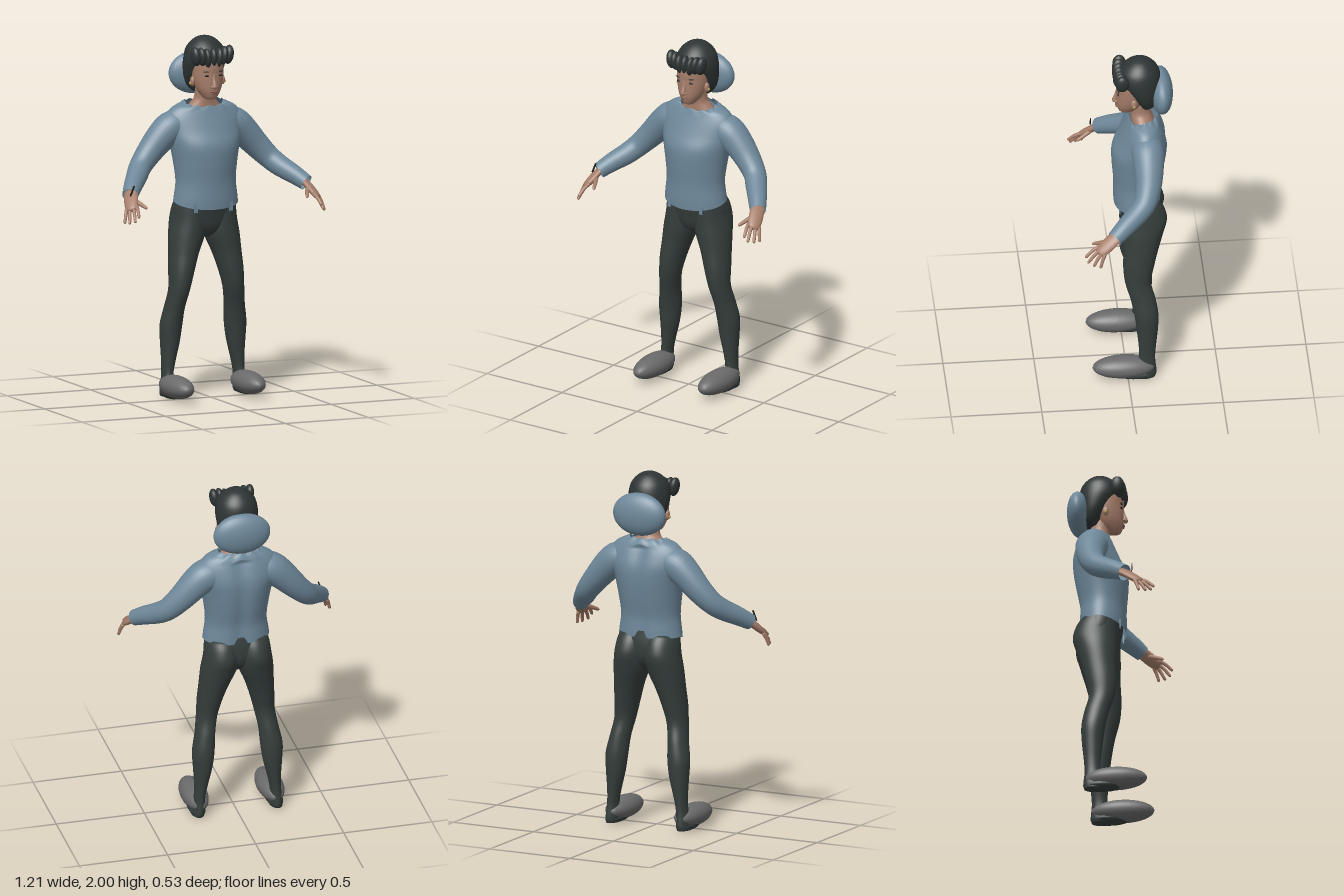
import * as THREE from 'three';

const mat = (name, color, side = THREE.FrontSide) => Object.assign(new THREE.MeshStandardMaterial({ color, side }), { name });

// Joins rings of n points into one closed smooth skin, with optional end caps.
function skin(rings, caps = true) {
  const n = rings[0].length, m = rings.length, pos = rings.flat(), idx = [];
  for (let i = 0; i < m - 1; i++) for (let j = 0; j < n; j++) {
    const k = (j + 1) % n, a = i * n + j, b = a + n, c = i * n + k, d = c + n;
    idx.push(a, b, c, b, d, c);
  }
  if (caps) [0, m - 1].forEach((r) => {
    const mid = new THREE.Vector3();
    rings[r].forEach((p) => mid.addScaledVector(p, 1 / n));
    const c = pos.push(mid) - 1;
    for (let j = 0; j < n; j++) {
      const a = r * n + j, b = r * n + (j + 1) % n;
      r ? idx.push(c, b, a) : idx.push(c, a, b);
    }
  });
  const g = new THREE.BufferGeometry().setFromPoints(pos);
  g.setIndex(idx);
  g.computeVertexNormals();
  return g;
}

// Smoothly resamples a short list of control rows.
function resample(rows, steps) {
  const size = rows[0].length;
  const curve = new THREE.CubicInterpolant(rows.map((_, i) => i), rows.flat(), size, new Float32Array(size));
  const count = (rows.length - 1) * steps;
  return Array.from({ length: count + 1 }, (_, i) => Array.from(curve.evaluate(i / steps)));
}

// Upright body part from rows [y, centreX, halfWidth, zBack, zFront, frontDrop].
function loft(rows, { caps = true, tweak, n = 36 } = {}) {
  return skin(resample(rows, 4).map(([y, cx, rx, zb, zf, drop]) =>
    Array.from({ length: n }, (_, j) => {
      const a = j / n * Math.PI * 2, s = Math.sin(a);
      const p = new THREE.Vector3(cx + rx * Math.cos(a), y - drop * Math.max(0, s), (zb + zf) / 2 + (zf - zb) / 2 * s);
      if (tweak) tweak(p, a);
      return p;
    })), caps);
}

// Limb along rows [x, y, z, radius], widened along the side direction.
function limb(rows, { side = [0, 0, 1], wide = 1, n = 20, caps = true } = {}) {
  const r = resample(rows, 4), at = (i) => new THREE.Vector3(...r[i]);
  return skin(r.map((row, i) => {
    const t = at(Math.min(i + 1, r.length - 1)).sub(at(Math.max(i - 1, 0))).normalize();
    const u = new THREE.Vector3(...side).addScaledVector(t, -t.dot(new THREE.Vector3(...side))).normalize();
    const v = u.clone().cross(t);
    return Array.from({ length: n }, (_, j) => {
      const a = j / n * Math.PI * 2;
      return at(i).addScaledVector(u, Math.cos(a) * row[3] * wide).addScaledVector(v, Math.sin(a) * row[3]);
    });
  }), caps);
}

const ball = (x, y, z, rx, ry, rz, tilt = 0) =>
  new THREE.SphereGeometry(1, 28, 18).scale(rx, ry, rz).rotateZ(tilt).translate(x, y, z);

// Reflects a geometry to the other side and restores its winding.
function mirrored(geo) {
  const g = geo.clone().scale(-1, 1, 1), idx = g.index.array;
  for (let i = 0; i < idx.length; i += 3) [idx[i], idx[i + 1]] = [idx[i + 1], idx[i]];
  g.computeVertexNormals();
  return g;
}

export function createModel() {
  const group = new THREE.Group();
  const shirt = mat('shirt blue', 0x6e889a, THREE.DoubleSide);
  const pants = mat('trouser charcoal', 0x353e3c);
  const hair = mat('hair black', 0x2e3534);
  const skinTone = mat('skin', 0xa67e6a);
  const lip = mat('lip', 0x865a50);
  const shoe = mat('slipper grey', 0x6a6a6a);
  const dark = mat('eye dark', 0x1c1a1a);
  const gold = mat('earring gold', 0xb09a50);
  const add = (name, geo, material) => {
    const m = new THREE.Mesh(geo, material);
    m.name = name;
    group.add(m);
  };
  const pair = (name, geo, material) => {
    add(name + 'Left', geo, material);
    add(name + 'Right', mirrored(geo), material);
  };

  // Sweater body with scalloped neckline, spine groove and open hem
  add('sweaterBody', loft([
    [1.085, 0, .187, -.2, .06, .035], [1.12, 0, .182, -.2, .062, .02], [1.2, 0, .172, -.2, .062, 0],
    [1.3, 0, .182, -.22, .07, 0], [1.4, 0, .2, -.235, .07, 0], [1.48, 0, .222, -.235, .035, 0],
    [1.55, 0, .225, -.215, .005, 0], [1.6, 0, .19, -.195, -.015, 0], [1.625, 0, .145, -.183, -.022, .01],
    [1.638, 0, .112, -.17, -.028, .032],
  ], {
    caps: false, n: 60, tweak: (p, a) => {
      if (Math.sin(a) < 0 && p.y < 1.6) p.z += .018 * Math.exp(-((p.x / .045) ** 2));
      if (p.y > 1.6 && Math.abs(p.x) < .115) p.y += .005 * Math.cos(12 * a);
    },
  }), shirt);
  pair('hemTab', new THREE.BoxGeometry(.022, .05, .006).translate(.105, 1.06, .036), shirt);
  pair('sleeve', limb([
    [.13, 1.51, -.11, .085], [.19, 1.495, -.112, .09], [.25, 1.445, -.112, .083], [.32, 1.37, -.105, .072],
    [.385, 1.3, -.08, .063], [.43, 1.255, -.03, .059], [.485, 1.212, .04, .052], [.53, 1.172, .1, .044],
  ], { caps: false, n: 28 }), shirt);

  // Trousers: hips joining two shaped legs
  add('hips', loft([
    [.885, 0, .02, -.11, -.05, 0], [.91, 0, .09, -.15, -.01, 0], [.95, 0, .16, -.18, .012, 0],
    [1, 0, .182, -.195, .025, 0], [1.06, 0, .18, -.195, .038, 0], [1.12, 0, .165, -.185, .045, 0],
  ]), pants);
  pair('leg', loft([
    [.01, .222, .036, -.15, -.02, 0], [.04, .22, .037, -.157, -.03, 0], [.12, .215, .031, -.15, -.06, 0],
    [.2, .207, .038, -.155, -.06, 0], [.3, .198, .053, -.166, -.05, 0], [.4, .193, .062, -.17, -.038, 0],
    [.5, .18, .056, -.155, -.018, 0], [.6, .163, .058, -.132, .01, 0], [.7, .148, .069, -.15, .02, 0],
    [.8, .128, .082, -.175, .017, 0], [.9, .104, .099, -.205, .02, 0], [.98, .094, .096, -.226, .02, 0],
    [1.05, .09, .09, -.21, .02, 0], [1.1, .088, .08, -.18, .02, 0],
  ]), pants);

  // Rounded slippers with a dark sole below
  pair('sole', ball(.22, .03, -.045, .047, .03, .112), pants);
  pair('slipper', ball(.215, .074, .021, .073, .063, .174), shoe);

  // Hands: flat palm, four fingers and a thumb
  const across = [.75, -.35, -.5];
  pair('palm', limb([
    [.515, 1.185, .08, .02], [.53, 1.165, .11, .02], [.545, 1.135, .148, .02], [.557, 1.108, .183, .016], [.56, 1.1, .193, .008],
  ], { side: across, wide: 2 }), skinTone);
  [['index', -.03, [.55, 1.07, .265]], ['middle', -.009, [.566, 1.043, .252]],
    ['ring', .012, [.587, 1.032, .222]], ['little', .032, [.6, 1.03, .185]]].forEach(([name, o, tip]) => {
    const root = [.553 + across[0] * o, 1.115 + across[1] * o, .175 + across[2] * o];
    const at = (f, lift) => root.map((v, i) => v + (tip[i] - v) * f + (i === 1 ? lift : 0));
    pair(name + 'Finger', limb([
      [...at(0, 0), .011], [...at(.5, .007), .0095], [...at(.92, .001), .008], [...at(1, 0), .003],
    ], { side: across, n: 12 }), skinTone);
  });
  pair('thumb', limb([
    [.53, 1.155, .125, .014], [.505, 1.135, .168, .012], [.486, 1.116, .21, .009], [.481, 1.11, .22, .003],
  ], { side: [0, 1, 0], n: 12 }), skinTone);
  // Thin spike on the right wrist
  add('wristSpike', new THREE.BoxGeometry(.008, .06, .006).rotateZ(-.4).translate(-.535, 1.2, .14), dark);

  // Neck and head
  add('neck', loft([
    [1.57, 0, .11, -.165, -.04, 0], [1.605, 0, .098, -.16, -.035, 0], [1.63, 0, .078, -.15, -.034, 0],
    [1.66, 0, .058, -.14, -.03, 0], [1.72, 0, .055, -.13, -.02, 0],
  ]), skinTone);
  add('head', loft([
    [1.655, 0, .012, -.015, .012, 0], [1.662, 0, .033, -.05, .03, 0], [1.69, 0, .055, -.09, .042, 0],
    [1.72, 0, .071, -.11, .046, 0], [1.76, 0, .083, -.13, .047, 0], [1.8, 0, .09, -.15, .047, 0],
    [1.85, 0, .092, -.16, .048, 0], [1.9, 0, .085, -.15, .04, 0], [1.94, 0, .05, -.12, 0, 0],
  ]), skinTone);

  // Face details
  add('nose', limb([
    [0, 1.722, .047, .004], [0, 1.729, .053, .015], [0, 1.742, .053, .013], [0, 1.77, .046, .009], [0, 1.8, .041, .006],
  ], { side: [1, 0, 0], n: 16 }), skinTone);
  pair('nostril', ball(.013, 1.731, .048, .009, .007, .01), skinTone);
  add('upperLip', ball(0, 1.703, .044, .023, .005, .008), lip);
  add('lowerLip', ball(0, 1.695, .042, .02, .006, .009), lip);
  pair('eye', ball(.038, 1.792, .037, .016, .005, .005), dark);
  pair('eyebrow', ball(.04, 1.815, .037, .021, .004, .006, .08), hair);
  pair('ear', ball(.09, 1.755, -.045, .013, .028, .018), skinTone);
  pair('earring', ball(.102, 1.745, -.045, .008, .009, .008), gold);

  // Hair cap, row of front curls and large bun wrap
  add('hairCap', loft([
    [1.69, 0, .055, -.15, -.085, 0], [1.72, 0, .085, -.177, -.07, 0], [1.77, 0, .107, -.192, -.033, 0],
    [1.83, 0, .117, -.2, .008, 0], [1.88, 0, .117, -.2, .034, 0], [1.93, 0, .105, -.188, .025, 0],
    [1.965, 0, .08, -.163, -.003, 0], [1.988, 0, .05, -.135, -.035, 0], [1.998, 0, .022, -.107, -.063, 0],
    [2, 0, .002, -.087, -.083, 0],
  ]), hair);
  [[.098, 1.902, .02, .027, .053], [.066, 1.9, .026, .023, .052], [.035, 1.89, .028, .021, .054]].forEach(([x, y, z, rx, ry], i) =>
    pair('frontCurl' + (i + 1), ball(x, y, z, rx, ry, .038, -.15 + i * .03), hair));
  add('frontCurlCentre', ball(0, 1.893, .029, .021, .052, .037), hair);
  add('bunWrap', ball(0, 1.78, -.202, .161, .12, .064), shirt);

  return group;
}
